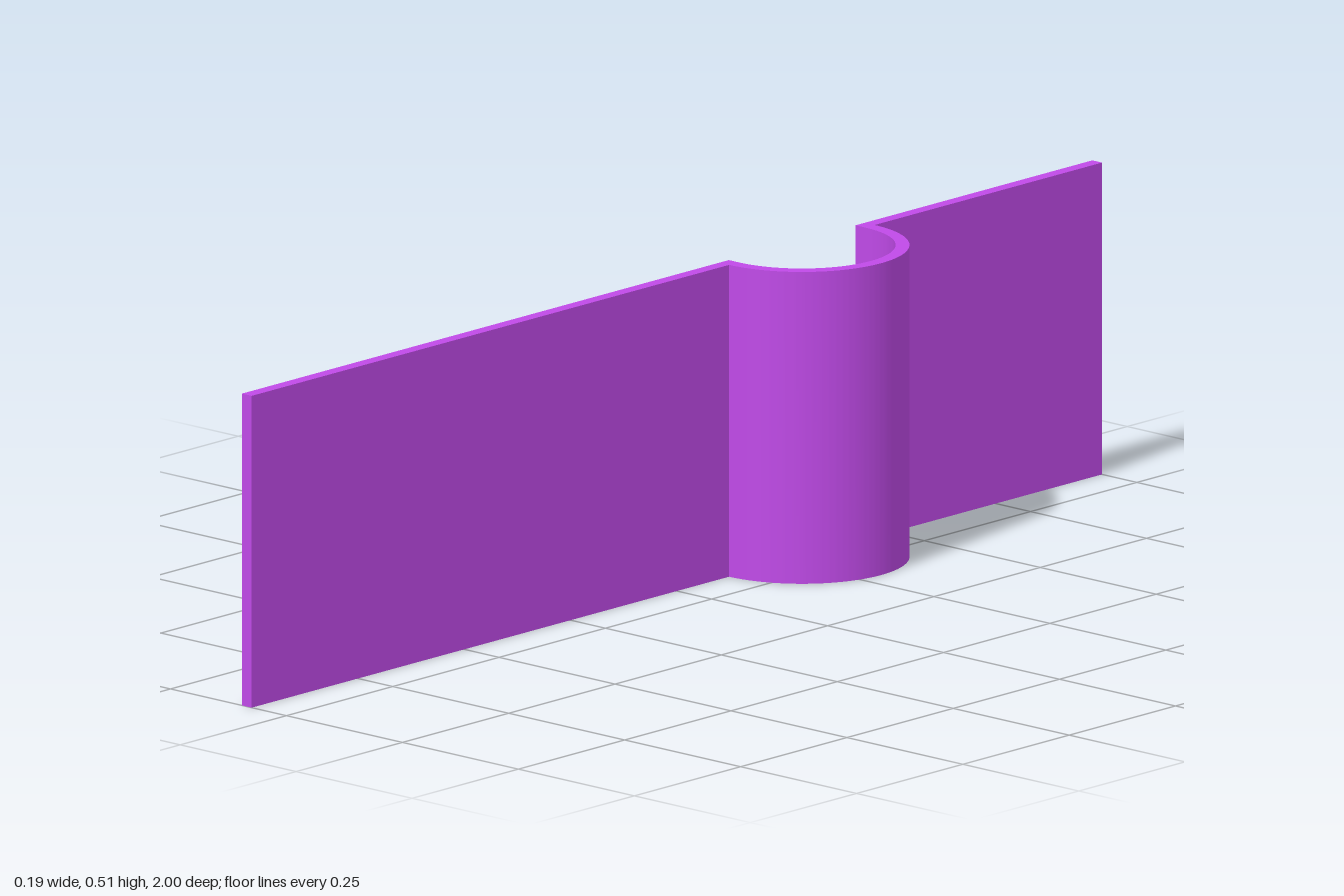
import * as THREE from 'three';
import { toCreasedNormals } from 'three/addons/utils/BufferGeometryUtils.js';

export function createModel() {
  const group = new THREE.Group();
  const height = 0.512;
  const back = -0.096, face = -0.075;       // strip thickness in x
  const centre = 0.294;                     // bend centre (towards -z)
  const outer = 0.171, inner = 0.149;

  // Plan outline: straight strip with a half-round bend
  const plan = new THREE.Shape();
  plan.moveTo(back, -1);
  plan.lineTo(face, -1);
  plan.lineTo(face, centre - outer);
  plan.absarc(face, centre, outer, -Math.PI / 2, Math.PI / 2, false);
  plan.lineTo(face, 1);
  plan.lineTo(back, 1);
  plan.lineTo(back, centre + inner);
  plan.lineTo(face, centre + inner);
  plan.absarc(face, centre, inner, Math.PI / 2, -Math.PI / 2, true);
  plan.lineTo(back, centre - inner);
  plan.closePath();

  // Raise the outline to full height, with smooth curves and sharp edges
  const raised = new THREE.ExtrudeGeometry(plan, { depth: height, bevelEnabled: false, curveSegments: 48 });
  raised.rotateX(-Math.PI / 2);
  const clip = new THREE.Mesh(
    toCreasedNormals(raised, Math.PI / 6),
    new THREE.MeshStandardMaterial({ color: 0xc04ae8 })
  );
  clip.name = 'bentStripClip';
  group.add(clip);
  return group;
}
